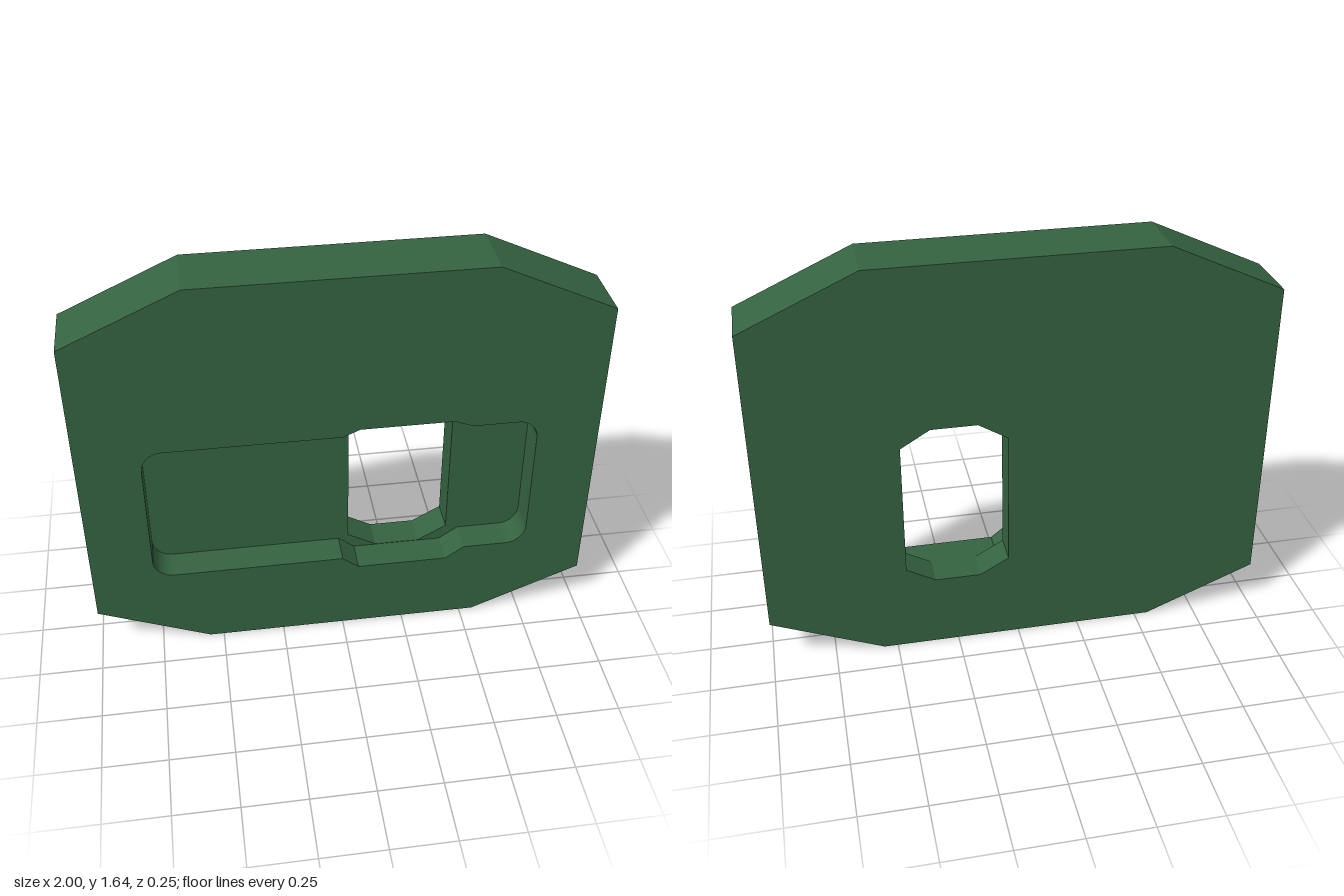
import * as THREE from 'three';
import { toCreasedNormals } from 'three/addons/utils/BufferGeometryUtils.js';

const FRONT = 0.125, FLOOR = 0, BACK = -0.125;
const toPoints = (list) => list.map(([x, y]) => new THREE.Vector2(x, y));

// Closed wall along a loop; a counter-clockwise loop faces outward, a reversed one inward.
function wall(loop, z0, z1) {
  const pos = [];
  loop.forEach((a, i) => {
    const b = loop[(i + 1) % loop.length];
    pos.push(a.x, a.y, z0, b.x, b.y, z0, b.x, b.y, z1);
    pos.push(a.x, a.y, z0, b.x, b.y, z1, a.x, a.y, z1);
  });
  const geo = new THREE.BufferGeometry();
  geo.setAttribute('position', new THREE.Float32BufferAttribute(pos, 3));
  return toCreasedNormals(geo, 0.38);
}

// Flat face with one opening, facing +z or, if flipped, -z.
function face(loop, opening, z, flip = false) {
  const shape = new THREE.Shape(flip ? loop.map((p) => new THREE.Vector2(-p.x, p.y)) : loop);
  shape.holes.push(new THREE.Path(flip ? opening.map((p) => new THREE.Vector2(-p.x, p.y)) : opening));
  const geo = new THREE.ShapeGeometry(shape);
  if (flip) geo.rotateY(Math.PI);
  return geo.translate(0, 0, z);
}

export function createModel() {
  const group = new THREE.Group();
  group.name = 'slottedPlate';
  const material = new THREE.MeshStandardMaterial({ color: 0x356340 });
  const add = (name, geometry) => {
    const mesh = new THREE.Mesh(geometry, material);
    mesh.name = name;
    group.add(mesh);
  };

  // Plate outline with cut corners
  const outline = toPoints([
    [-0.555, 0], [0.555, 0], [1, 0.185], [1, 1.44],
    [0.555, 1.645], [-0.555, 1.645], [-1, 1.44], [-1, 0.185],
  ]);

  // Through hole, an elongated octagon
  const hole = toPoints([
    [0.155, 0.305], [0.335, 0.305], [0.45, 0.37], [0.45, 0.925],
    [0.335, 0.995], [0.155, 0.995], [0.04, 0.925], [0.04, 0.37],
  ]);

  // Recess: rounded rectangle widened around the hole
  const l = -0.757, r = 0.755, b = 0.355, t = 0.968, c = 0.08, q = Math.PI / 2;
  const path = new THREE.Path();
  path.moveTo(l + c, b);
  [[0, b], [0.065, 0.303], [0.425, 0.303], [0.5, b]].forEach(([x, y]) => path.lineTo(x, y));
  path.absarc(r - c, b + c, c, -q, 0);
  path.absarc(r - c, t - c, c, 0, q);
  [[0.5, t], [0.425, 0.997], [0.065, 0.997], [0, t]].forEach(([x, y]) => path.lineTo(x, y));
  path.absarc(l + c, t - c, c, q, 2 * q);
  path.absarc(l + c, b + c, c, 2 * q, 3 * q);
  const recess = path.getPoints(8).filter((p, i, all) => p.distanceTo(all[(i + 1) % all.length]) > 1e-5);

  add('frontFace', face(outline, recess, FRONT));
  add('recessFloor', face(recess, hole, FLOOR));
  add('backFace', face(outline, hole, BACK, true));
  add('outerRim', wall(outline, BACK, FRONT));
  add('recessWall', wall([...recess].reverse(), FLOOR, FRONT));
  add('holeWall', wall([...hole].reverse(), BACK, FLOOR));
  return group;
}
